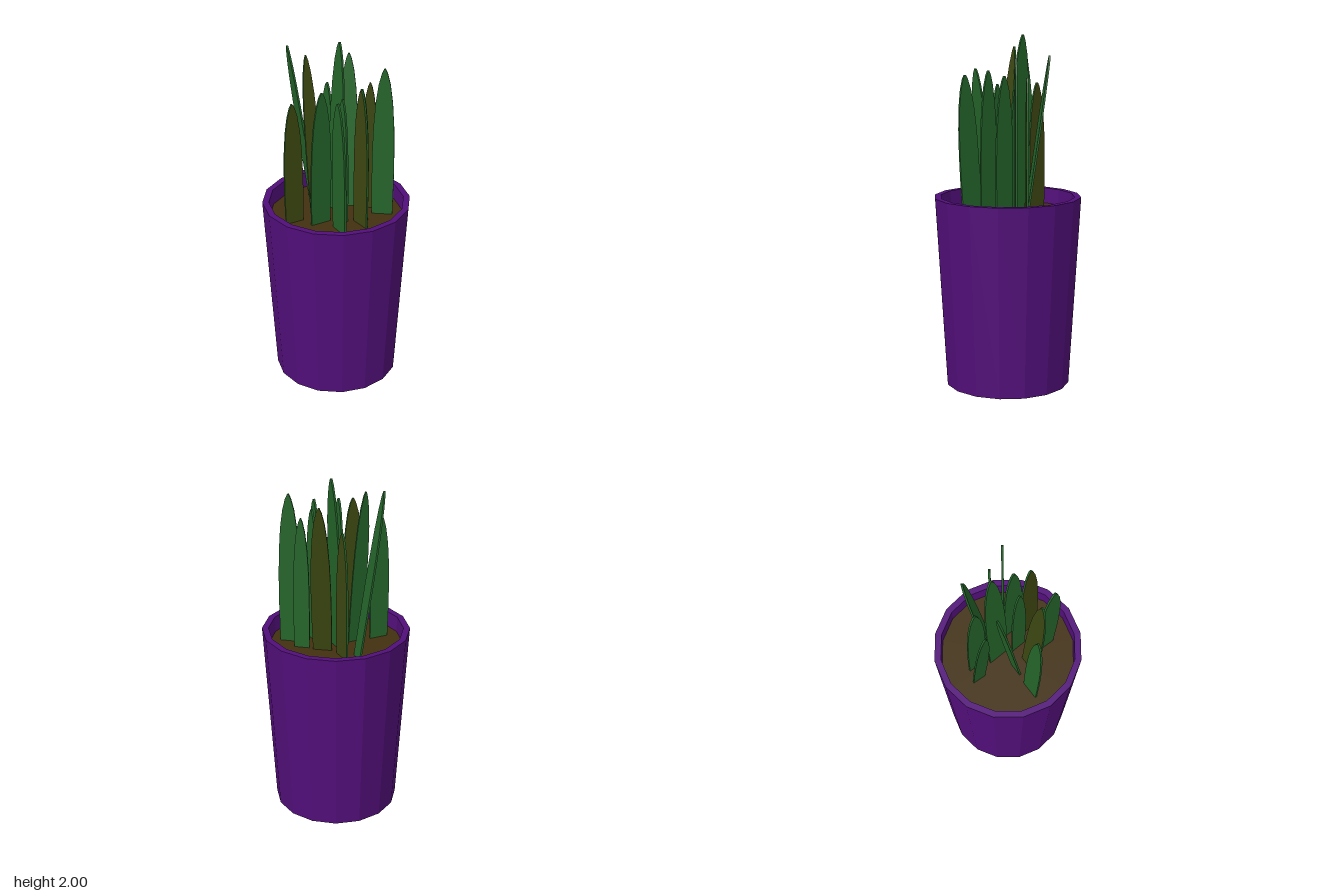
import * as THREE from 'three';

const material = (name, color) => {
  const m = new THREE.MeshStandardMaterial({ color });
  m.name = name;
  return m;
};

const POT_TOP = 1.09;
const SOIL = 1.0;
const LEAF_BASE = 0.98;
const THICKNESS = 0.011;

// Blade outline as half width against height, both as fractions
const OUTLINE = [[0.94, 0], [1, 0.25], [0.99, 0.45], [0.92, 0.62], [0.76, 0.78], [0.52, 0.9], [0.26, 0.97], [0.06, 1]];

// Base edge from (x1, z1) to (x2, z2), then the tip, then olive side if any
const LEAVES = [
  [-0.02, -0.10, 0.09, -0.125, 0.0, 1.885, -0.237, 'back'],
  [-0.212, -0.162, -0.153, -0.105, -0.298, 1.96, -0.055, ''],
  [-0.118, 0.098, -0.058, 0.035, -0.18, 1.93, -0.018, 'front'],
  [-0.08, -0.09, 0.025, -0.005, -0.008, 2.0, -0.085, ''],
  [-0.15, -0.195, -0.055, -0.118, -0.102, 1.73, -0.156, 'back'],
  [0.11, -0.12, 0.20, -0.137, 0.155, 1.77, -0.128, 'front'],
  [0.188, -0.065, 0.31, -0.088, 0.25, 1.88, -0.077, ''],
  [0.095, -0.04, 0.195, 0.04, 0.145, 1.78, 0.0, ''],
  [0.015, 0.02, 0.09, 0.08, 0.052, 1.73, 0.05, ''],
  [0.12, 0.048, 0.217, 0.123, 0.168, 1.81, 0.086, 'front'],
  [0.028, 0.147, 0.128, 0.238, 0.08, 1.78, 0.23, ''],
  [-0.095, 0.178, -0.01, 0.085, -0.025, 1.81, 0.185, 'back'],
  [-0.235, 0.207, -0.157, 0.122, -0.19, 1.73, 0.195, 'front'],
];

// Thin blade with separately coloured back, front and edge
function leafGeometry([x1, z1, x2, z2, tx, ty, tz]) {
  const base = new THREE.Vector3((x1 + x2) / 2, LEAF_BASE, (z1 + z2) / 2);
  const across = new THREE.Vector3(x2 - x1, 0, z2 - z1);
  const half = across.length() / 2;
  across.normalize();
  const rise = new THREE.Vector3(tx, ty, tz).sub(base);
  const normal = across.clone().cross(new THREE.Vector3(0, 1, 0));

  const right = OUTLINE.map(([w, h]) => new THREE.Vector2(w * half, h));
  const left = OUTLINE.map(([w, h]) => new THREE.Vector2(-w * half, h)).reverse();
  const g = new THREE.ExtrudeGeometry(new THREE.Shape([...right, ...left]), { depth: THICKNESS, bevelEnabled: false });
  g.translate(0, 0, -THICKNESS / 2);

  const caps = g.groups[0].count;
  g.clearGroups();
  g.addGroup(0, caps / 2, 0);
  g.addGroup(caps / 2, caps / 2, 1);
  g.addGroup(caps, g.attributes.position.count - caps, 2);

  // Lean the upright blade from its base towards its tip
  g.applyMatrix4(new THREE.Matrix4().makeBasis(across, rise, normal).setPosition(base));
  g.computeVertexNormals();
  return g;
}

export function createModel() {
  const model = new THREE.Group();
  model.name = 'pottedPlant';

  const purple = material('purple', 0x520f7a);
  const brown = material('soilBrown', 0x423010);
  const green = material('leafGreen', 0x25642a);
  const olive = material('leafOlive', 0x3c4611);

  // Tapered sixteen-sided pot with a rim and inner wall
  const profile = [[0, 0], [0.357, 0], [0.421, POT_TOP], [0.384, POT_TOP], [0.38, SOIL - 0.01]]
    .map(([r, y]) => new THREE.Vector2(r, y));
  const potGeometry = new THREE.LatheGeometry(profile, 16).toNonIndexed();
  potGeometry.computeVertexNormals();
  const pot = new THREE.Mesh(potGeometry, purple);
  pot.name = 'pot';
  model.add(pot);

  // Soil surface
  const soil = new THREE.Mesh(new THREE.CircleGeometry(0.381, 16), brown);
  soil.name = 'soil';
  soil.rotation.x = -Math.PI / 2;
  soil.position.y = SOIL;
  model.add(soil);

  // Leaves
  const leaves = new THREE.Group();
  leaves.name = 'leaves';
  for (const leaf of LEAVES) {
    const side = leaf[7];
    const mesh = new THREE.Mesh(leafGeometry(leaf), [
      side === 'back' ? olive : green,
      side === 'front' ? olive : green,
      green,
    ]);
    mesh.name = 'leaf';
    leaves.add(mesh);
  }
  model.add(leaves);

  return model;
}
